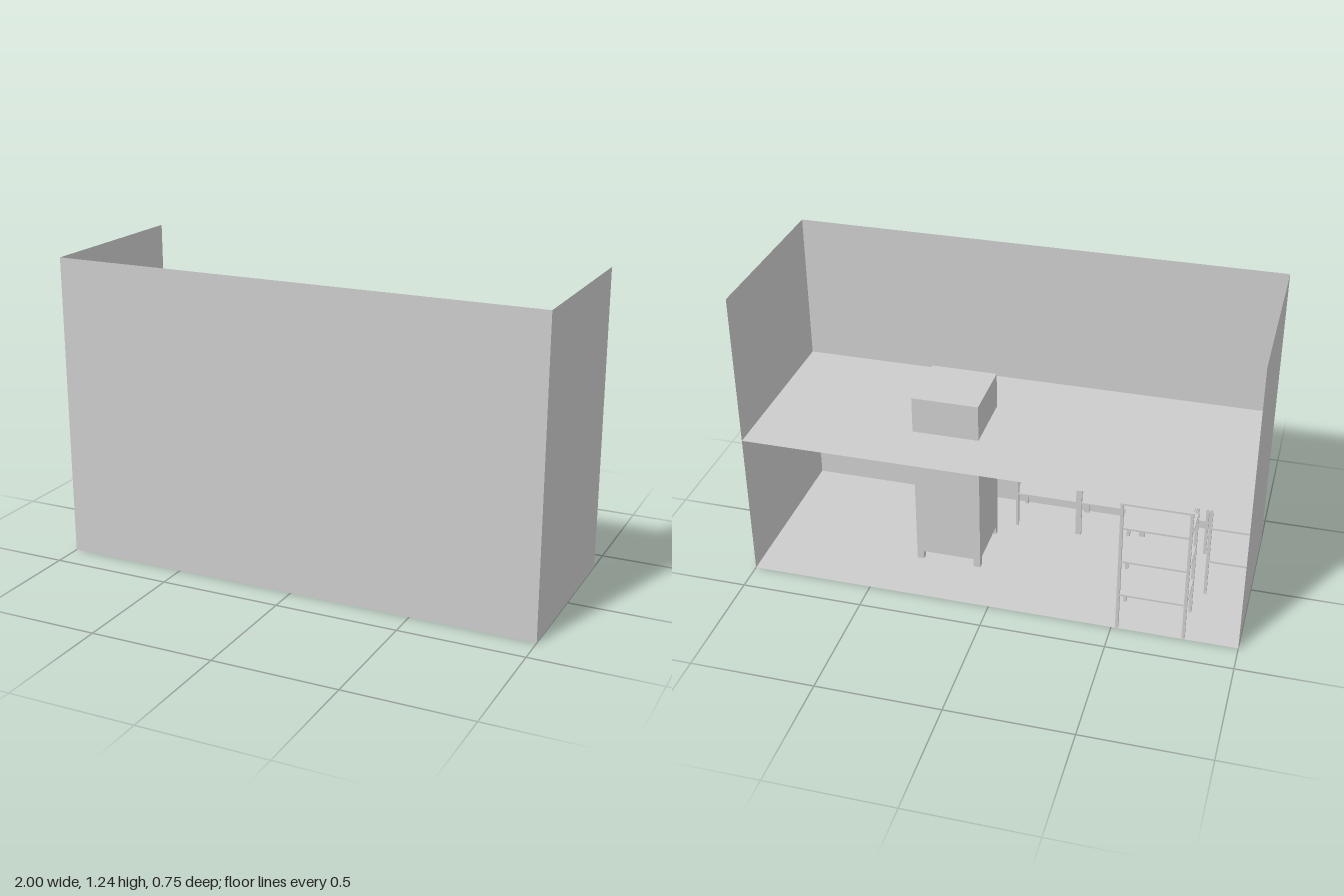
import * as THREE from 'three';

const W = 2, H = 1.24, D = 0.755, MID = 0.62;
const mat = new THREE.MeshStandardMaterial({ color: 0xcccccc });
const sheetMat = new THREE.MeshStandardMaterial({ color: 0xcccccc, side: THREE.DoubleSide });

function box(parent, name, w, h, d, x, y, z) {
  const m = new THREE.Mesh(new THREE.BoxGeometry(w, h, d), mat);
  m.name = name;
  m.position.set(x, y, z);
  parent.add(m);
}

function sheet(parent, name, w, h, pos, rx = 0, ry = 0) {
  const m = new THREE.Mesh(new THREE.PlaneGeometry(w, h), sheetMat);
  m.name = name;
  m.position.set(...pos);
  m.rotation.set(rx, ry, 0);
  parent.add(m);
}

// Four-post rack with four shelves
function rack(name, x, z, turn = 0) {
  const g = new THREE.Group();
  g.name = name;
  const w = 0.275, d = 0.18, h = 0.59, post = 0.012;
  for (const sx of [-1, 1]) for (const sz of [-1, 1])
    box(g, 'rackPost', post, h, post, sx * (w - post) / 2, h / 2, sz * (d - post) / 2);
  for (const y of [0.16, 0.32, 0.475, 0.585])
    box(g, 'rackShelf', w - 0.004, 0.008, d - 0.004, 0, y, 0);
  g.position.set(x, 0, z);
  g.rotation.y = turn;
  return g;
}

// Solid cabinet on four short feet, rising through the upper floor
function cabinet() {
  const g = new THREE.Group();
  g.name = 'cabinet';
  const s = 0.272, foot = 0.028, lift = 0.037, top = 0.773;
  box(g, 'cabinetBody', s, top - lift, s, 0, (top + lift) / 2, 0);
  for (const sx of [-1, 1]) for (const sz of [-1, 1])
    box(g, 'cabinetFoot', foot, lift, foot, sx * (s - foot) / 2, lift / 2, sz * (s - foot) / 2);
  g.position.set(0.238, 0, -0.002);
  return g;
}

export function createModel() {
  const model = new THREE.Group();

  // Thin shell: two floors, front wall and side walls; back and top open
  sheet(model, 'lowerFloor', W, D, [0, 0, 0], -Math.PI / 2);
  sheet(model, 'upperFloor', W, D, [0, MID, 0], -Math.PI / 2);
  sheet(model, 'frontWall', W, H, [0, H / 2, D / 2]);
  for (const s of [-1, 1])
    sheet(model, s > 0 ? 'leftWall' : 'rightWall', D, H, [s * W / 2, H / 2, 0], 0, s * Math.PI / 2);

  model.add(cabinet());

  // Racks along the front wall, against the right wall, and at the open back
  for (let i = 0; i < 3; i++) model.add(rack('frontRack', -0.1 - i * 0.275, 0.285));
  model.add(rack('sideRack', -0.908, 0.065, Math.PI / 2));
  model.add(rack('backRack', -0.653, -0.285));

  return model;
}
